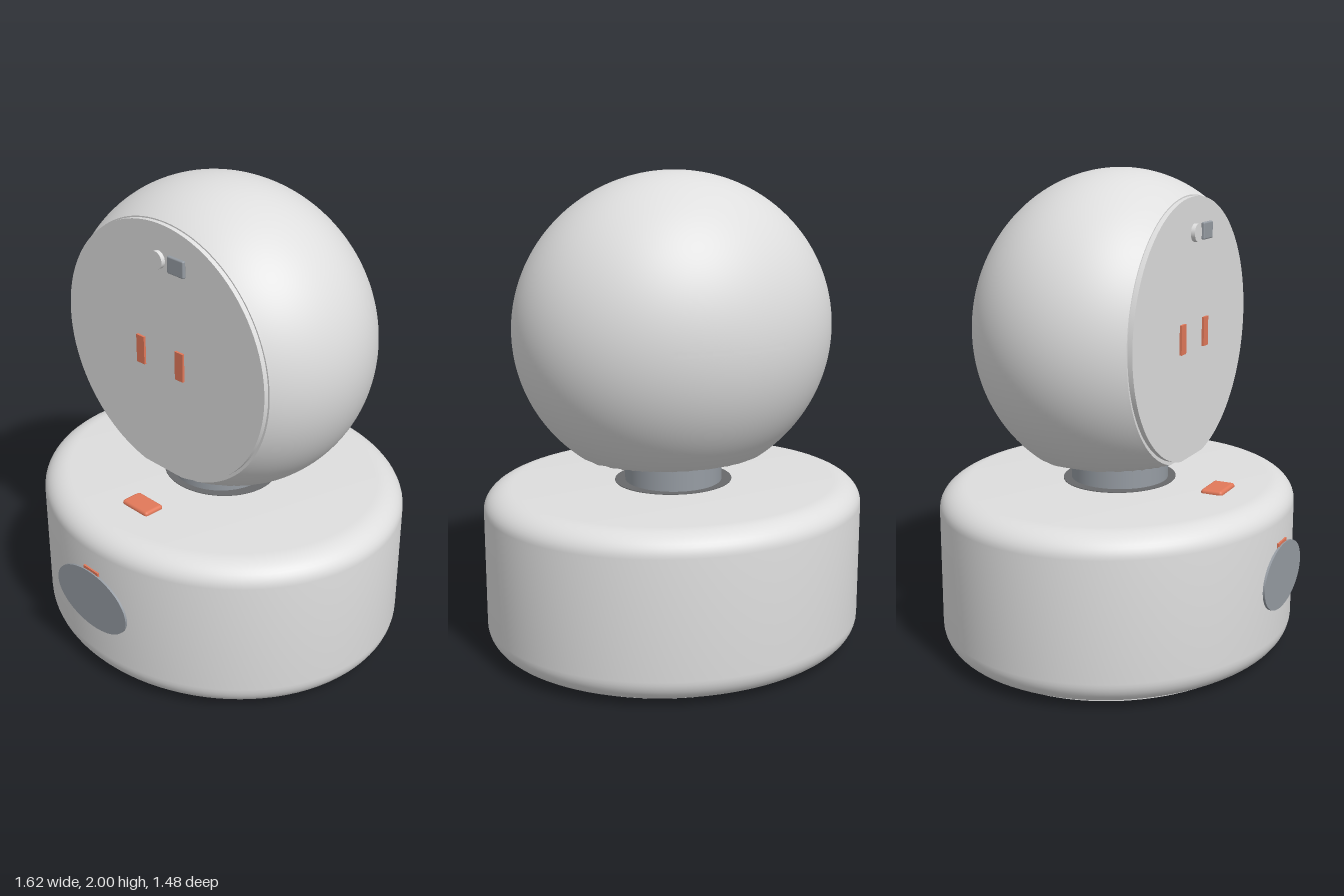
import * as THREE from 'three';
import { toCreasedNormals } from 'three/addons/utils/BufferGeometryUtils.js';
import { RoundedBoxGeometry } from 'three/addons/geometries/RoundedBoxGeometry.js';

const mat = (name, color) => {
  const m = new THREE.MeshStandardMaterial({ color });
  m.name = name;
  return m;
};

export function createModel() {
  const white = mat('shell white', 0xdedede);
  const slate = mat('slate grey', 0x969ca3);
  const orange = mat('orange', 0xe2795a);
  const dark = mat('dark grey', 0x68696b);
  const model = new THREE.Group();
  model.name = 'robot';

  const add = (name, geometry, material, x = 0, y = 0, z = 0) => {
    const mesh = new THREE.Mesh(geometry, material);
    mesh.name = name;
    mesh.position.set(x, y, z);
    model.add(mesh);
    return mesh;
  };
  // Upright elliptical disc
  const disc = (rx, rz, h) => new THREE.CylinderGeometry(1, 1, h, 96).scale(rx, 1, rz);
  // Elliptical disc facing +z
  const plate = (rx, ry, d) => new THREE.CylinderGeometry(1, 1, d, 96).rotateX(Math.PI / 2).scale(rx, ry, 1);

  // Base: rounded drum, stretched to an ellipse
  const profile = [new THREE.Vector2(0, 0.02)];
  const corner = (cx, cy, rx, ry, from) => {
    for (let i = 0; i <= 10; i++) {
      const a = from + (i / 10) * Math.PI / 2;
      profile.push(new THREE.Vector2(cx + rx * Math.cos(a), cy + ry * Math.sin(a)));
    }
  };
  corner(0.71, 0.12, 0.1, 0.1, -Math.PI / 2);
  corner(0.69, 0.615, 0.12, 0.09, 0);
  profile.push(new THREE.Vector2(0, 0.705));
  const base = new THREE.LatheGeometry(profile, 96).scale(1, 1, 0.735 / 0.81);
  add('base', toCreasedNormals(base, 0.5), white, 0, 0, -0.005);
  add('foot', disc(0.7, 0.63, 0.03), white, 0, 0.015, 0);

  // Neck and the dark ring around it
  add('neckRing', disc(0.25, 0.235, 0.006), dark, 0, 0.705, 0);
  add('neck', disc(0.205, 0.205, 0.15), slate, 0, 0.767, 0);

  // Head: ellipsoid turned about z, cut flat at the front and bottom
  const headY = 1.355, cut = 0.835, frontZ = 0.31, rz = 0.58;
  const arc = [];
  const end = Math.asin(frontZ / rz);
  for (let i = 0; i <= 80; i++) {
    const a = -Math.PI / 2 + (i / 80) * (end + Math.PI / 2);
    arc.push(new THREE.Vector2(Math.max(0, Math.cos(a)), rz * Math.sin(a)));
  }
  arc.push(new THREE.Vector2(0, frontZ));
  const head = new THREE.LatheGeometry(arc, 144).rotateX(Math.PI / 2).scale(0.675, 0.645, 1);
  const flattenBottom = (g, y) => {
    const p = g.attributes.position;
    for (let i = 0; i < p.count; i++) p.setY(i, Math.max(p.getY(i), cut - y));
    return toCreasedNormals(g, 0.4);
  };
  add('head', flattenBottom(head, headY), white, 0, headY, 0);
  add('facePlate', flattenBottom(plate(0.563, 0.535, 0.025), 1.36), white, 0, 1.36, 0.3175);

  // Face details
  for (const side of [-1, 1]) {
    add(side > 0 ? 'leftEye' : 'rightEye', new THREE.BoxGeometry(0.045, 0.12, 0.015), orange, side * 0.112, 1.34, 0.332);
  }
  add('sensor', plate(0.036, 0.036, 0.025), white, 0, 1.752, 0.335);
  add('camera', new RoundedBoxGeometry(0.09, 0.07, 0.016, 2, 0.006), slate, 0.108, 1.753, 0.339);

  // Base details
  add('button', new RoundedBoxGeometry(0.15, 0.03, 0.095, 3, 0.013), orange, 0, 0.706, 0.45);
  add('badge', plate(0.215, 0.135, 0.009), slate, 0, 0.383, 0.738);
  add('badgeTab', new THREE.BoxGeometry(0.09, 0.02, 0.012), orange, 0, 0.519, 0.731);

  return model;
}
